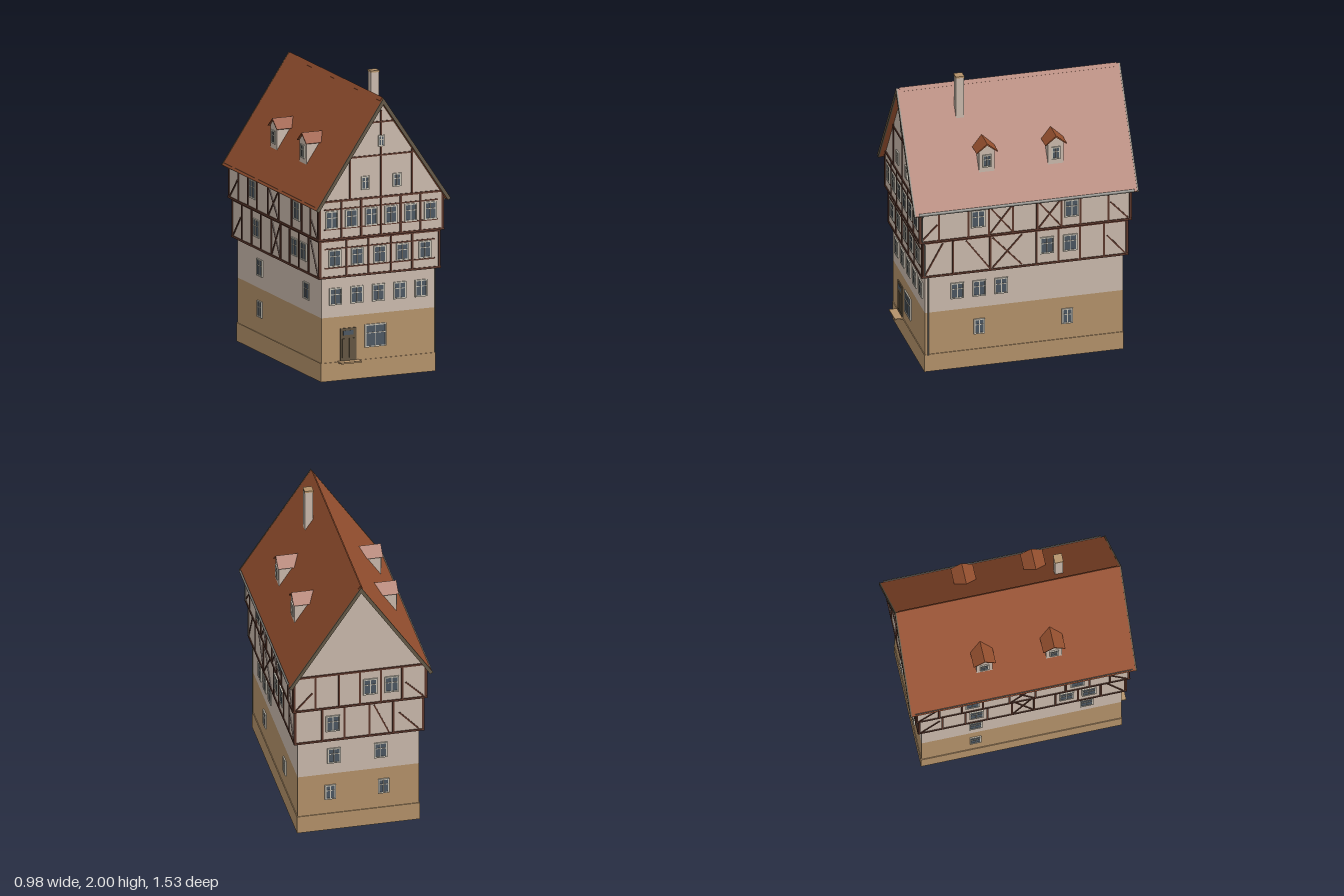
import * as THREE from 'three';

const mat = (color, side = THREE.FrontSide) => new THREE.MeshStandardMaterial({ color, side });
const M = {
  stone: mat(0xb4926a), plaster: mat(0xcabaac), roof: mat(0x96502f), timber: mat(0x5c372b),
  glass: mat(0x4b5661), frame: mat(0xc6c1b4), door: mat(0x625440), board: mat(0x645846),
  metal: mat(0x77756f, THREE.DoubleSide),
};

function add(parent, name, geo, material, x = 0, y = 0, z = 0) {
  const m = new THREE.Mesh(geo, material);
  m.name = name;
  m.position.set(x, y, z);
  parent.add(m);
  return m;
}
const box = (p, name, m, w, h, d, x, y, z) => add(p, name, new THREE.BoxGeometry(w, h, d), m, x, y, z);
const poly = (pts) => new THREE.Shape(pts.map(([x, y]) => new THREE.Vector2(x, y)));
const extrude = (shape, depth) => new THREE.ExtrudeGeometry(shape, { depth, bevelEnabled: false });

// Upside-down V section for roofs and verge boards
const chevron = (half, ridge, eave, t) =>
  poly([[-half, eave], [-half + t * 0.45, eave - t * 0.3], [0, ridge - t], [half - t * 0.45, eave - t * 0.3], [half, eave], [0, ridge]]);

// Casement window lying on a wall: frame with four panes
function windowUnit(face, x, y, d, w = 0.09, h = 0.115) {
  const g = new THREE.Group();
  g.name = 'window';
  g.position.set(x, y, d);
  const s = poly([[-w / 2, -h / 2], [w / 2, -h / 2], [w / 2, h / 2], [-w / 2, h / 2]]);
  const b = 0.009, m = 0.0025, t = h * 0.12;
  const rows = [[-h / 2 + b, t - m], [t + m, h / 2 - b]];
  for (const [lo, hi] of rows)
    for (const [l, r] of [[-w / 2 + b, -m], [m, w / 2 - b]])
      s.holes.push(poly([[l, lo], [l, hi], [r, hi], [r, lo]]));
  add(g, 'windowFrame', extrude(s, 0.009), M.frame);
  box(g, 'windowGlass', M.glass, w - 0.006, h - 0.006, 0.006, 0, 0, 0.002);
  face.add(g);
}

// Timber between two points on a wall
function beam(face, d, x0, y0, x1, y1, w = 0.013) {
  const m = box(face, 'timber', M.timber, Math.hypot(x1 - x0, y1 - y0), w, 0.012, (x0 + x1) / 2, (y0 + y1) / 2, d);
  m.rotation.z = Math.atan2(y1 - y0, x1 - x0);
}
const posts = (face, d, xs, y0, y1) => xs.forEach((x) => beam(face, d, x, y0, x, y1));
const braces = (face, d, list) => list.forEach(([a, b, c, e]) => beam(face, d, a, b, c, e, 0.01));

export function createModel() {
  const root = new THREE.Group();
  root.name = 'halfTimberedHouse';

  // Masonry and the two jettied storeys
  box(root, 'plinth', M.stone, 0.83, 0.125, 1.36, 0, 0.0625, 0);
  box(root, 'groundFloor', M.stone, 0.82, 0.33, 1.35, 0, 0.265, 0);
  box(root, 'firstFloor', M.plaster, 0.82, 0.28, 1.35, 0, 0.57, 0);
  box(root, 'secondFloor', M.plaster, 0.87, 0.265, 1.4, 0, 0.8325, 0);
  const attic = poly([[-0.45, 0.965], [0.45, 0.965], [0.45, 1.205], [0, 1.875], [-0.45, 1.205]]);
  add(root, 'thirdFloorAndGables', extrude(attic, 1.44), M.plaster, 0, 0, -0.72);

  // Sill beams around each storey
  box(root, 'lowerSill', M.timber, 0.882, 0.014, 1.412, 0, 0.707, 0);
  box(root, 'upperPlate', M.timber, 0.88, 0.01, 1.41, 0, 0.953, 0);
  box(root, 'upperSill', M.timber, 0.912, 0.014, 1.452, 0, 0.969, 0);

  // Wall frames: local x runs along the wall, local z points outward
  const [front, right, back, left] = ['front', 'right', 'back', 'left'].map((n, i) => {
    const g = new THREE.Group();
    g.name = n + 'Wall';
    g.rotation.y = (i * Math.PI) / 2;
    root.add(g);
    return g;
  });

  // Front windows
  for (let i = -2; i <= 2; i++) {
    windowUnit(front, i * 0.155, 0.57, 0.675);
    windowUnit(front, i * 0.163, 0.835, 0.7);
  }
  for (let i = 0; i < 6; i++) windowUnit(front, -0.358 + i * 0.143, 1.1, 0.72, 0.088, 0.12);
  for (const s of [-1, 1]) windowUnit(front, s * 0.115, 1.33, 0.72, 0.06, 0.09);
  windowUnit(front, 0, 1.605, 0.722, 0.046, 0.075);
  windowUnit(front, -0.02, 0.283, 0.675, 0.155, 0.155);

  // Door and step
  box(front, 'door', M.door, 0.115, 0.225, 0.014, -0.218, 0.237, 0.675);
  box(front, 'doorLight', M.glass, 0.075, 0.03, 0.004, -0.218, 0.318, 0.682);
  for (const s of [-1, 1]) box(front, 'doorPanel', M.door, 0.04, 0.13, 0.006, -0.218 + s * 0.025, 0.215, 0.682);
  box(front, 'doorStep', M.stone, 0.15, 0.01, 0.075, -0.218, 0.125, 0.697);

  // Front timbers
  posts(front, 0.7, [-0.43, -0.24, -0.082, 0.082, 0.235, 0.43], 0.71, 0.95);
  for (const y of [0.77, 0.9]) beam(front, 0.698, -0.4, y, 0.4, y, 0.009);
  posts(front, 0.72, [-0.444, -0.286, -0.143, 0, 0.143, 0.286, 0.444], 0.97, 1.22);
  for (const y of [1.037, 1.17]) beam(front, 0.718, -0.41, y, 0.41, y, 0.009);
  beam(front, 0.721, -0.435, 1.225, 0.435, 1.225, 0.014);
  beam(front, 0.72, -0.235, 1.508, 0.235, 1.508, 0.011);
  beam(front, 0.72, -0.07, 1.733, 0.09, 1.733, 0.011);
  posts(front, 0.72, [-0.225, 0.225], 1.225, 1.53);
  posts(front, 0.72, [0], 1.225, 1.81);

  // Right wall (local x = -z)
  for (const x of [-0.455, -0.305, -0.155]) windowUnit(right, x, 0.57, 0.41);
  for (const x of [-0.305, 0.295]) windowUnit(right, x, 0.29, 0.41, 0.075, 0.11);
  for (const x of [0.15, 0.308]) windowUnit(right, x, 0.84, 0.435, 0.096, 0.12);
  for (const x of [-0.323, 0.315]) windowUnit(right, x, 1.1, 0.45, 0.096, 0.125);
  posts(right, 0.435, [-0.694, -0.49, -0.237, 0.08, 0.229, 0.375, 0.54, 0.694], 0.71, 0.95);
  posts(right, 0.45, [-0.714, -0.59, -0.39, -0.25, -0.085, 0.08, 0.245, 0.375, 0.565, 0.714], 0.97, 1.2);
  braces(right, 0.434, [[-0.68, 0.72, -0.56, 0.94], [-0.4, 0.94, -0.24, 0.72], [-0.22, 0.72, -0.02, 0.94],
    [-0.22, 0.94, -0.02, 0.72], [0.56, 0.86, 0.68, 0.72]]);
  braces(right, 0.449, [[-0.71, 0.98, -0.6, 1.09], [-0.24, 0.98, -0.09, 1.17], [-0.24, 1.17, -0.09, 0.98],
    [0.09, 0.98, 0.24, 1.17], [0.09, 1.17, 0.24, 0.98], [0.58, 1.11, 0.7, 0.98]]);

  // Left wall (local x = z)
  windowUnit(left, -0.31, 0.29, 0.41, 0.075, 0.11);
  for (const x of [-0.31, 0.44]) windowUnit(left, x, 0.57, 0.41);
  for (const x of [-0.31, 0.3, 0.45]) windowUnit(left, x, 0.84, 0.435, 0.096, 0.12);
  for (const x of [-0.34, 0.37]) windowUnit(left, x, 1.1, 0.45, 0.096, 0.125);
  posts(left, 0.435, [-0.694, -0.54, -0.385, -0.235, -0.07, 0.08, 0.225, 0.375, 0.53, 0.694], 0.71, 0.95);
  posts(left, 0.45, [-0.714, -0.565, -0.41, -0.27, -0.09, 0.085, 0.29, 0.45, 0.59, 0.714], 0.97, 1.2);
  braces(left, 0.434, [[-0.68, 0.72, -0.56, 0.86], [-0.06, 0.72, 0.07, 0.94], [-0.06, 0.94, 0.07, 0.72], [0.56, 0.94, 0.68, 0.72]]);
  braces(left, 0.449, [[-0.7, 0.98, -0.58, 1.11], [-0.08, 0.98, 0.075, 1.17], [-0.08, 1.17, 0.075, 0.98], [0.6, 1.09, 0.7, 0.98]]);

  // Back wall (local x = -x)
  for (const x of [-0.19, 0.17]) windowUnit(back, x, 0.29, 0.675, 0.075, 0.11);
  for (const x of [-0.165, 0.15]) windowUnit(back, x, 0.57, 0.675);
  windowUnit(back, -0.178, 0.835, 0.7, 0.096, 0.12);
  for (const x of [0.07, 0.215]) windowUnit(back, x, 1.1, 0.72, 0.096, 0.12);
  posts(back, 0.7, [-0.43, -0.25, -0.1, 0.07, 0.23, 0.43], 0.71, 0.95);
  posts(back, 0.72, [-0.444, -0.3, -0.14, 0, 0.143, 0.286, 0.444], 0.97, 1.22);
  braces(back, 0.699, [[0.1, 0.94, 0.2, 0.72], [0.27, 0.86, 0.4, 0.72]]);
  braces(back, 0.719, [[-0.43, 0.98, -0.32, 1.1], [0.31, 1.1, 0.43, 0.98]]);
  beam(back, 0.721, -0.435, 1.225, 0.435, 1.225, 0.014);

  // Main roof with verge boards, ridge cap and gutters
  add(root, 'roof', extrude(chevron(0.483, 1.897, 1.18, 0.035), 1.52), M.roof, 0, 0, -0.76);
  for (const z of [-0.765, 0.755]) add(root, 'vergeBoard', extrude(chevron(0.486, 1.899, 1.18, 0.042), 0.01), M.board, 0, 0, z);
  add(root, 'ridgeCap', extrude(chevron(0.016, 1.903, 1.879, 0.012), 1.48), M.roof, 0, 0, -0.74);
  for (const s of [-1, 1]) {
    const gutter = add(root, 'gutter', new THREE.CylinderGeometry(0.011, 0.011, 1.47, 10, 1, true, Math.PI / 2, Math.PI),
      M.metal, s * 0.48, 1.187, 0);
    gutter.rotation.set(Math.PI / 2, Math.PI, 0);
    gutter.rotation.order = 'XYZ';
    gutter.geometry.rotateY(Math.PI / 2);
  }

  // Downpipe stepping in below each jetty
  const path = new THREE.CurvePath();
  const pts = [[0.478, 1.18, 0.705], [0.457, 1.15, 0.705], [0.457, 0.98, 0.705], [0.442, 0.95, 0.685],
    [0.442, 0.72, 0.685], [0.418, 0.69, 0.655], [0.418, 0.12, 0.655]].map((p) => new THREE.Vector3(...p));
  for (let i = 1; i < pts.length; i++) path.add(new THREE.LineCurve3(pts[i - 1], pts[i]));
  add(root, 'downpipe', new THREE.TubeGeometry(path, 60, 0.005, 6), M.metal);

  // Dormers on both slopes
  const cheek = poly([[-0.053, 1.385], [0.053, 1.385], [0.053, 1.535], [0, 1.58], [-0.053, 1.535]]);
  for (const face of [right, left])
    for (const x of [-0.235, 0.235]) {
      const d = new THREE.Group();
      d.name = 'dormer';
      d.position.x = x;
      face.add(d);
      add(d, 'dormerWalls', extrude(cheek, 0.145), M.plaster, 0, 0, 0.2);
      add(d, 'dormerRoof', extrude(chevron(0.075, 1.592, 1.53, 0.012), 0.155), M.roof, 0, 0, 0.2);
      windowUnit(d, 0, 1.465, 0.345, 0.06, 0.09);
    }

  // Chimney
  box(root, 'chimney', M.plaster, 0.056, 0.43, 0.054, 0.107, 1.775, 0.363);
  box(root, 'chimneyCap', M.stone, 0.06, 0.012, 0.058, 0.107, 1.994, 0.363);
  return root;
}
